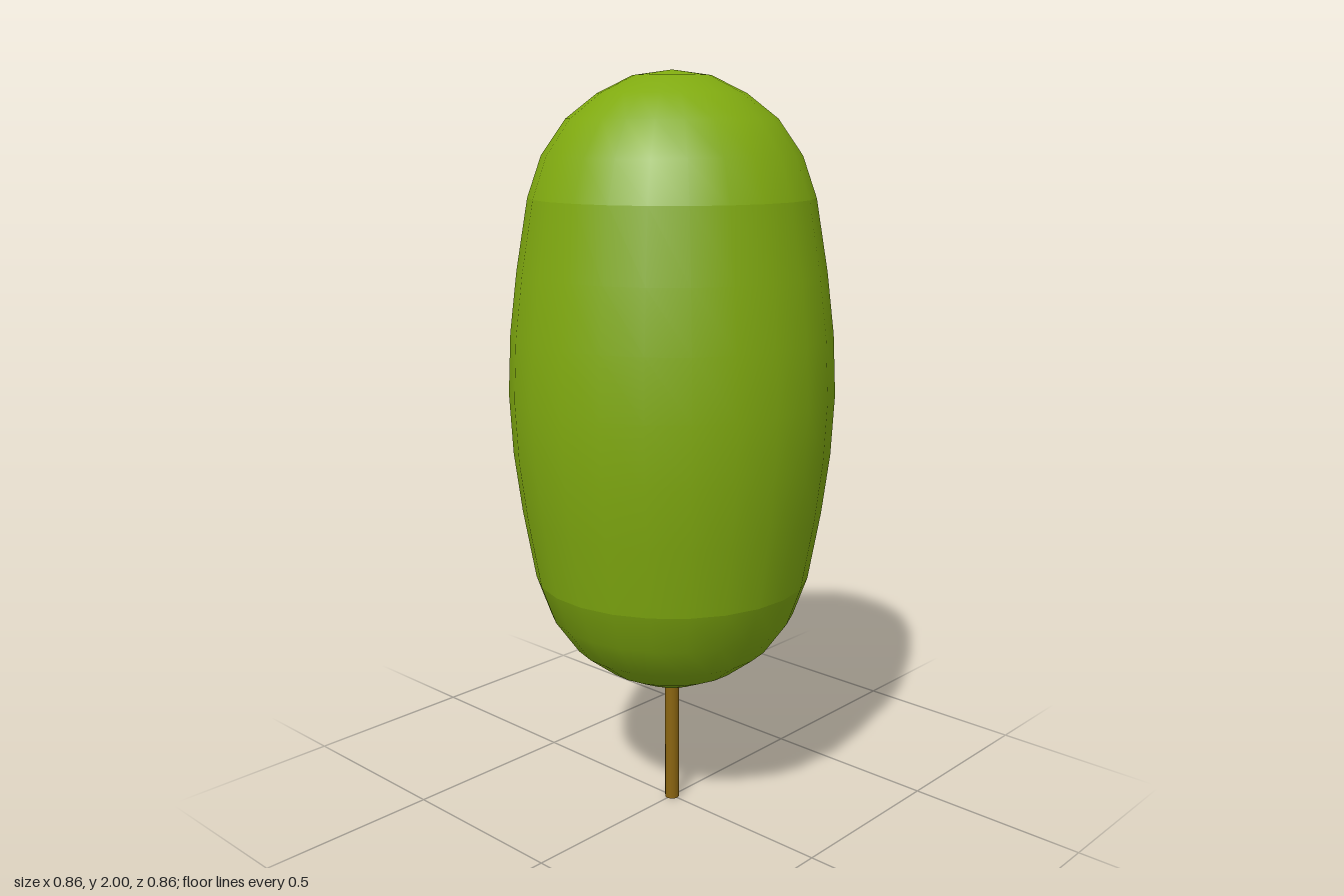
import * as THREE from 'three';

const SIDES = 24;
const START = THREE.MathUtils.degToRad(4.2);
const MID_Y = 1.18;

// Half profiles as [radius, height above the crown's middle]
const CAP = [[0.37, 0.505], [0.333, 0.61], [0.27, 0.7], [0.19, 0.762], [0.1, 0.806], [0, 0.82]];
const SIDE = [[0.43, 0], [0.422, 0.16], [0.402, 0.32], [0.37, 0.505]];

// Mirrors a half profile below the middle, listed bottom to top
const below = (profile) => profile.map(([r, y]) => [r, -y]).reverse();

function lathe(name, profile, material) {
  const points = profile.map(([r, y]) => new THREE.Vector2(r, y));
  const mesh = new THREE.Mesh(new THREE.LatheGeometry(points, SIDES, START), material);
  mesh.name = name;
  return mesh;
}

export function createModel() {
  const tree = new THREE.Group();
  tree.name = 'tree';
  const leaf = new THREE.MeshStandardMaterial({ color: 0x80aa10 });
  const bark = new THREE.MeshStandardMaterial({ color: 0x8b6510 });

  // Crown: stretched body between two rounded caps
  const crown = new THREE.Group();
  crown.name = 'crown';
  crown.position.y = MID_Y;
  crown.add(
    lathe('crownBottom', below(CAP), leaf),
    lathe('crownBody', [...below(SIDE), ...SIDE.slice(1)], leaf),
    lathe('crownTop', CAP, leaf),
  );
  tree.add(crown);

  // Trunk: thin post reaching just into the crown
  const trunk = new THREE.Mesh(new THREE.CylinderGeometry(0.02, 0.02, 0.42, 12), bark);
  trunk.name = 'trunk';
  trunk.position.y = 0.21;
  tree.add(trunk);

  return tree;
}
